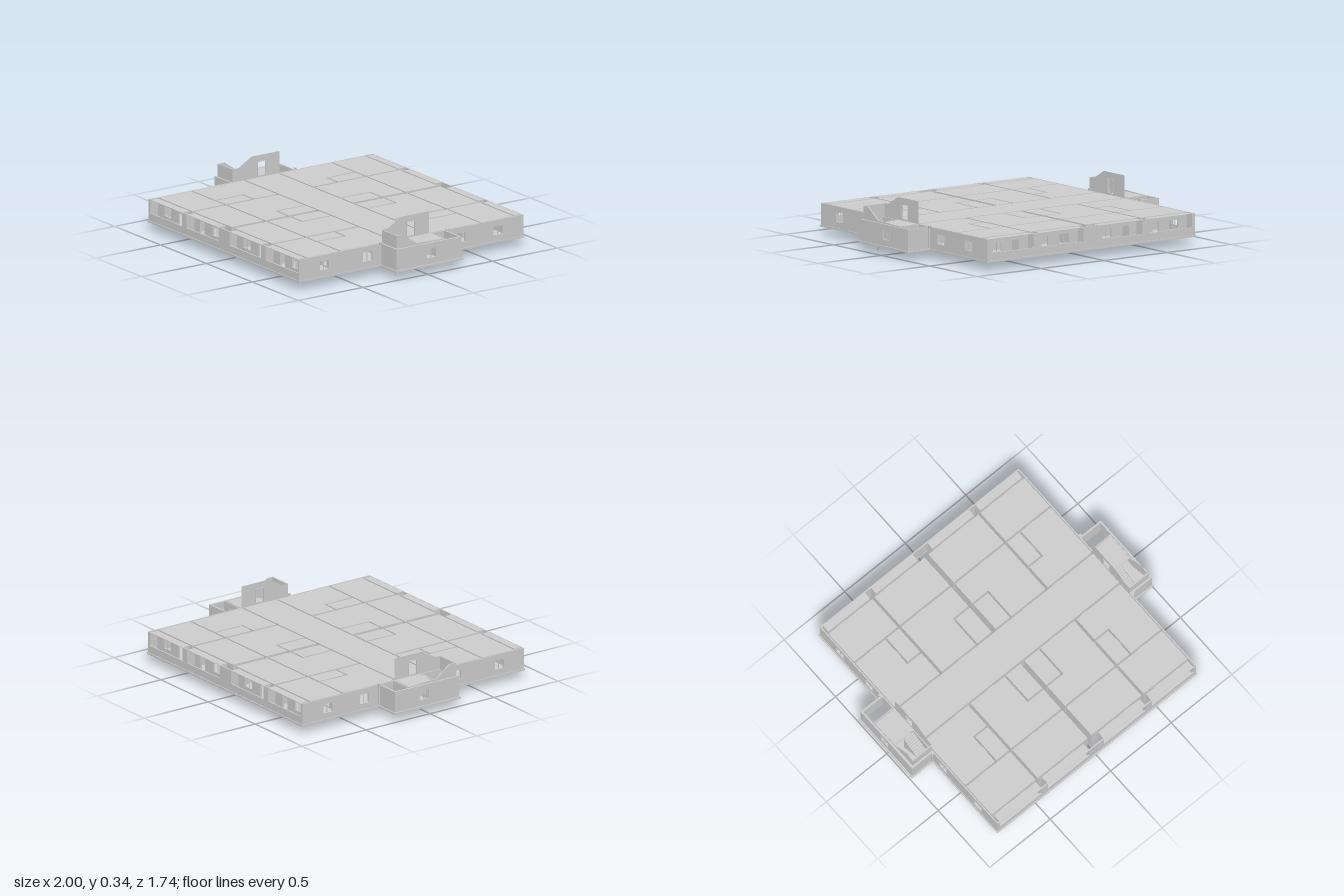
import * as THREE from 'three';

const solid = new THREE.MeshStandardMaterial({ color: 0xcccccc, flatShading: true });
const thin = new THREE.MeshStandardMaterial({ color: 0xcccccc, flatShading: true, side: THREE.DoubleSide });
const SIGNS = [-1, 1];
const FLOOR = 0.06, TOP = 0.2, HEAD = 0.165;

export function createModel() {
  const root = new THREE.Group();
  root.name = 'apartmentStorey';

  const add = (name, geo, mat = solid, parent = root) => {
    const m = new THREE.Mesh(geo, mat);
    m.name = name;
    parent.add(m);
    return m;
  };

  // box given by its extents; mirrored limits may come in any order
  const box = (name, x0, x1, y0, y1, z0, z1) => {
    const m = add(name, new THREE.BoxGeometry(Math.abs(x1 - x0), y1 - y0, Math.abs(z1 - z0)));
    m.position.set((x0 + x1) / 2, (y0 + y1) / 2, (z0 + z1) / 2);
  };

  const polygon = (pts) => new THREE.Shape(pts.map(([a, b]) => new THREE.Vector2(a, b)));

  // a shape with thickness t centred on its plane, or a bare sheet when t is 0
  const plate = (name, shape, t) => add(name,
    t ? new THREE.ExtrudeGeometry(shape, { depth: t, bevelEnabled: false }).translate(0, 0, -t / 2)
      : new THREE.ShapeGeometry(shape), t ? solid : thin);

  // horizontal sheet from x,z points
  const sheet = (name, pts, y) => {
    const m = plate(name, polygon(pts), 0);
    m.rotation.x = Math.PI / 2;
    m.position.y = y;
  };

  // upright panel in the z,y plane at a given x
  const sidePanel = (name, x, pts, t, holes = []) => {
    const flip = (list) => polygon(list.map(([z, y]) => [-z, y]));
    const s = flip(pts);
    holes.forEach((h) => s.holes.push(flip(h)));
    const m = plate(name, s, t);
    m.rotation.y = Math.PI / 2;
    m.position.x = x;
  };

  // doors and windows: 'x' or 'z' is the direction the wall runs
  const openings = [];
  const opening = (kind, axis, x, z, w, depth) => {
    const y0 = kind === 'window' ? 0.1 : FLOOR + 0.006;
    openings.push({ kind, axis, x, z, w, depth, y0, y1: HEAD });
  };
  for (const sx of SIGNS) for (const sz of SIGNS) {
    opening('door', 'x', sx * 0.645, sz * 0.541, 0.055, 0.013);
    opening('door', 'x', sx * 0.26, sz * 0.541, 0.055, 0.013);
    opening('door', 'x', sx * 0.52, sz * 0.133, 0.055, 0.012);
    opening('door', 'x', sx * 0.26, sz * 0.133, 0.055, 0.012);
    opening('door', 'z', sx * 0.555, sz * 0.42, 0.055, 0.012);
    opening('window', 'x', sx * 0.697, sz * 0.8, 0.075, 0.012);
    opening('door', 'x', sx * 0.555, sz * 0.8, 0.055, 0.012);
    opening('door', 'x', sx * 0.32, sz * 0.8, 0.055, 0.012);
    opening('window', 'x', sx * 0.168, sz * 0.8, 0.078, 0.012);
  }
  for (const sx of SIGNS) {
    for (const z of [0.672, 0.337, -0.382, -0.668]) opening('window', 'z', sx * 0.815, z, 0.075, 0.016);
    opening('door', 'z', sx * 0.815, 0, 0.06, 0.016);
    opening('window', 'z', sx * 0.985, -0.035, 0.075, 0.012);
    opening('door', 'x', sx * 0.9, -0.153, 0.06, 0.008);
  }

  // wall from a to b, cut by every opening that lies in it
  const wall = (name, a, b, t = 0, extra = []) => {
    const dx = b[0] - a[0], dz = b[1] - a[1], len = Math.hypot(dx, dz);
    const rect = (u0, u1, v0, v1) => polygon([[u0, v0], [u1, v0], [u1, v1], [u0, v1]]);
    const s = rect(0, len, FLOOR, TOP);
    const axis = Math.abs(dx) > Math.abs(dz) ? 'x' : 'z';
    for (const o of openings) {
      if (o.axis !== axis) continue;
      const px = o.x - a[0], pz = o.z - a[1];
      const u = (px * dx + pz * dz) / len, off = Math.abs(px * dz - pz * dx) / len;
      if (off < 0.02 && u - o.w / 2 > 0.001 && u + o.w / 2 < len - 0.001)
        s.holes.push(rect(u - o.w / 2, u + o.w / 2, o.y0, o.y1));
    }
    for (const cut of extra) s.holes.push(rect(...cut));
    const m = plate(name, s, t);
    m.position.set(a[0], 0, a[1]);
    m.rotation.y = -Math.atan2(dz, dx);
  };

  // a room is a floor, a ceiling and a wall on each edge; cavities between rooms stay open
  const room = (name, pts) => {
    sheet(name + 'Floor', pts, FLOOR);
    sheet(name + 'Ceiling', pts, TOP);
    pts.forEach((p, i) => wall(name + 'Wall', p, pts[(i + 1) % pts.length]));
  };
  const rect = (x0, x1, z0, z1) => [[x0, z0], [x1, z0], [x1, z1], [x0, z1]];

  room('corridor', rect(-0.81, 0.81, -0.127, 0.127));
  for (const sx of SIGNS) for (const sz of SIGNS) {
    const place = (pts) => pts.map(([x, z]) => [sx * x, sz * z]);
    room('outerBedroom', place(rect(0.446, 0.808, 0.548, 0.794)));
    room('innerBedroom', place(rect(0.016, 0.428, 0.548, 0.794)));
    room('outerBathroom', place(rect(0.446, 0.549, 0.33, 0.535)));
    room('innerBathroom', place(rect(0.016, 0.135, 0.14, 0.354)));
    room('outerLivingRoom', place([[0.446, 0.14], [0.808, 0.14], [0.808, 0.535], [0.561, 0.535], [0.561, 0.318], [0.446, 0.318]]));
    room('innerLivingRoom', place([[0.147, 0.14], [0.428, 0.14], [0.428, 0.535], [0.016, 0.535], [0.016, 0.366], [0.147, 0.366]]));

    // balconies: open to the outside above a parapet
    for (const [x0, x1] of [[0.06, 0.405], [0.455, 0.8]]) {
      const pts = place(rect(x0, x1, 0.806, 0.857));
      sheet('balconyFloor', pts, FLOOR);
      sheet('balconyCeiling', pts, TOP - 0.001);
      wall('balconyBackWall', pts[0], pts[1]);
      wall('balconySideWall', pts[1], pts[2]);
      wall('balconySideWall', pts[3], pts[0]);
    }
  }

  // outer shell
  for (const s of SIGNS) {
    const cuts = [[-0.8, -0.455], [-0.405, -0.06], [0.06, 0.405], [0.455, 0.8]]
      .map(([a, b]) => [a + 0.82, b + 0.82, 0.11, TOP - 0.003]);
    wall('facade', [-0.82, s * 0.861], [0.82, s * 0.861], 0.008, cuts);
    wall('endWall', [s * 0.817, -0.857], [s * 0.817, 0.857], 0.008);
    box('plinth', -0.826, 0.826, 0.05, 0.062, s * 0.855, s * 0.871);
    box('plinth', s * 0.812, s * 0.826, 0.05, 0.062, -0.86, -0.27);
    box('plinth', s * 0.812, s * 0.826, 0.05, 0.062, 0.24, 0.86);
  }

  // reveals around each opening, with a centre bar in windows
  for (const o of openings) {
    const g = new THREE.Group();
    g.name = o.kind + 'Frame';
    g.position.set(o.x, 0, o.z);
    if (o.axis === 'z') g.rotation.y = Math.PI / 2;
    root.add(g);
    const bar = (name, w, h, d, x, y) => add(name, new THREE.BoxGeometry(w, h, d), solid, g).position.set(x, y, 0);
    const e = 0.002, mid = (o.y0 + o.y1) / 2, h = o.y1 - o.y0;
    bar('lintel', o.w, e, o.depth, 0, o.y1 - e / 2);
    bar('sill', o.w, e, o.depth, 0, o.y0 + e / 2);
    for (const s of SIGNS) bar('jamb', e, h, o.depth, s * (o.w - e) / 2, mid);
    if (o.kind === 'window') bar('mullion', 0.003, h, 0.006, 0, mid);
  }

  // stair towers on both ends
  for (const s of SIGNS) {
    wall('towerOuterWall', [s * 0.985, -0.266], [s * 0.985, 0.235], 0.012);
    for (const z of [-0.26, 0.229]) wall('towerSideWall', [s * 0.821, z], [s * 0.979, z], 0.012);
    box('towerPlinth', s * 0.979, s, 0.05, 0.062, -0.275, 0.242);
    for (const z of [-0.267, 0.235]) box('towerPlinth', s * 0.82, s * 0.98, 0.05, 0.062, z - 0.007, z + 0.007);

    // lobby floor and the floor above it
    box('lobbyFloor', s * 0.821, s * 0.979, 0.053, 0.061, -0.15, 0.05);
    box('upperLobbyFloor', s * 0.821, s * 0.975, 0.194, 0.202, -0.145, 0.045);
    wall('shaftWall', [s * 0.821, -0.153], [s * 0.979, -0.153], 0.006);

    // two flights with a landing between them
    const n = 8, run = 0.12 / n, rise = 0.07 / n;
    for (let i = 0; i < n; i++) {
      const z = 0.05 + i * run, yUp = 0.061 + (i + 1) * rise, yDown = 0.2 - i * rise;
      box('lowerStep', s * 0.905, s * 0.975, yUp - 0.013, yUp, z, z + run);
      box('upperStep', s * 0.826, s * 0.895, yDown - 0.013, yDown, z, z + run);
    }
    box('landing', s * 0.821, s * 0.979, 0.123, 0.131, 0.168, 0.223);
    sidePanel('stairDivider', s * 0.9, [[0.178, 0], [0.178, 0.13], [0.168, 0.145], [0.06, 0.2], [0.05, 0.2], [0.05, 0.06], [0.095, 0.055]], 0.006);

    // thin wall with a doorway that rises above the storey
    const doorway = [[0.03, 0.21], [0.03, 0.303], [-0.03, 0.303], [-0.03, 0.21]];
    sidePanel('stairHeadWall', s * 0.814,
      [[0.222, 0.2], [0.222, 0.285], [0.175, 0.287], [0.075, 0.345], [-0.14, 0.345], [-0.14, 0.2]], 0, [doorway]);
    for (const z of [-0.031, 0.031]) box('stairDoorJamb', s * 0.809, s * 0.819, 0.208, 0.303, z - 0.001, z + 0.001);
    box('stairDoorLintel', s * 0.809, s * 0.819, 0.302, 0.304, -0.032, 0.032);

    // low walls around the stair
    sidePanel('stairOuterParapet', s * 0.97,
      [[0.222, 0.2], [0.222, 0.285], [0.175, 0.285], [0.07, 0.211], [-0.15, 0.204], [-0.15, 0.196], [0.07, 0.196]], 0.008);
    box('stairEndWall', s * 0.815, s * 0.974, 0.2, 0.285, 0.214, 0.223);

    // downpipes in the corners
    for (const z of [-0.271, 0.243]) {
      const pipe = add('downpipe', new THREE.CylinderGeometry(0.007, 0.007, 0.135, 8));
      pipe.position.set(s * 0.828, 0.1375, z);
      const hopper = add('downpipeHopper', new THREE.CylinderGeometry(0.01, 0.007, 0.014, 8));
      hopper.position.set(s * 0.828, 0.203, z);
    }
  }
  return root;
}
